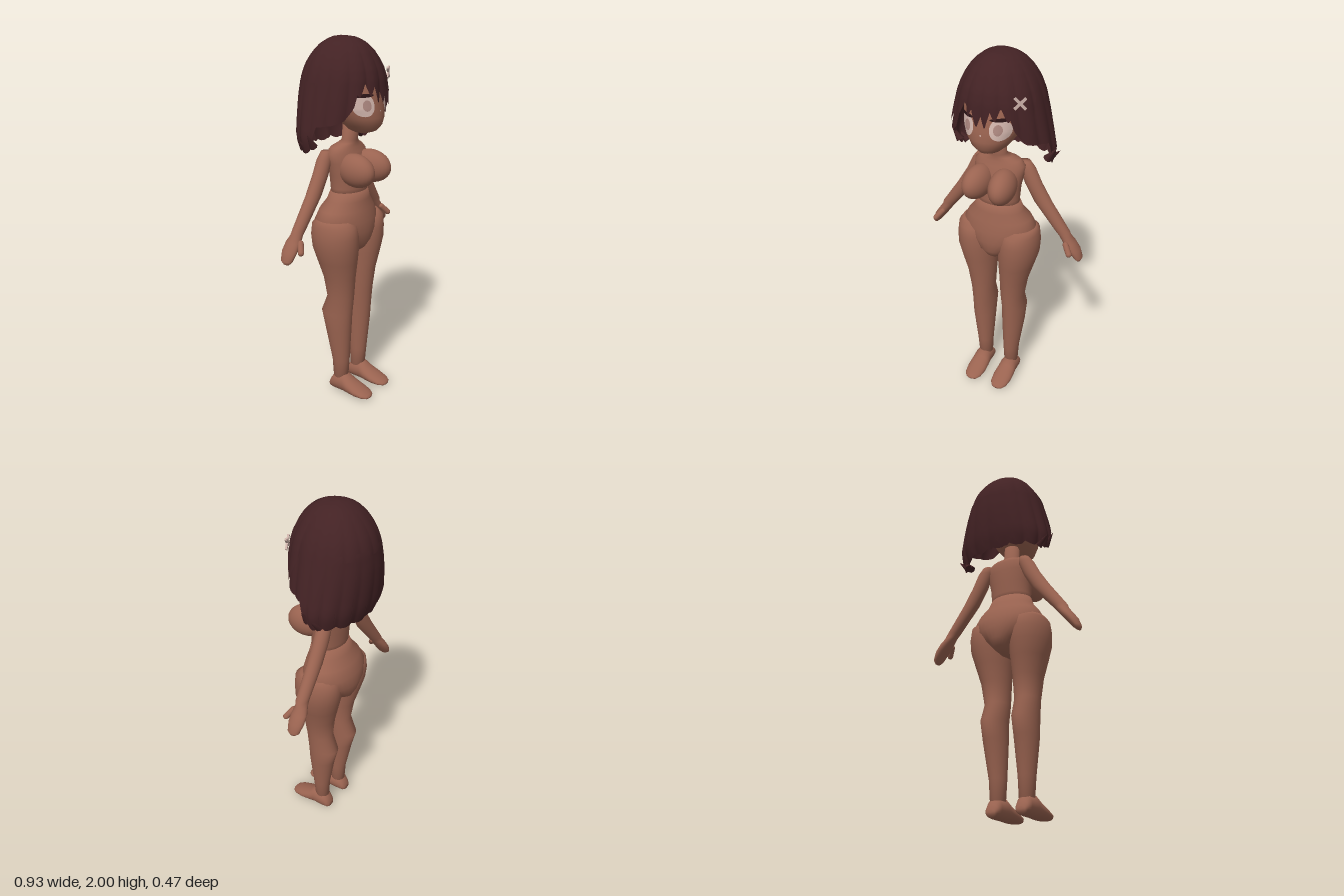
import * as THREE from 'three';

const mat = (name, color, side = THREE.FrontSide) => {
  const m = new THREE.MeshStandardMaterial({ color, side });
  m.name = name;
  return m;
};

// Linear lookup in rows sorted by their first column
function sample(rows, v) {
  if (v <= rows[0][0]) return rows[0];
  for (let i = 1; i < rows.length; i++) {
    if (v <= rows[i][0]) {
      const a = rows[i - 1], b = rows[i], t = (v - a[0]) / (b[0] - a[0]);
      return a.map((n, k) => n + (b[k] - n) * t);
    }
  }
  return rows[rows.length - 1];
}

function buffer(pos, idx) {
  const g = new THREE.BufferGeometry();
  g.setAttribute('position', new THREE.Float32BufferAttribute(pos, 3));
  g.setIndex(idx);
  g.computeVertexNormals();
  return g;
}

// Closed loft through elliptical rings [y, centreX, radiusX, frontZ, backZ], y ascending
function loft(rings, side = 1, n = 28) {
  const pos = [], idx = [];
  for (const [y, cx, rx, zf, zb] of rings) {
    for (let i = 0; i < n; i++) {
      const p = (i / n) * Math.PI * 2;
      pos.push(cx * side + rx * Math.sin(p), y, (zf + zb) / 2 + ((zf - zb) / 2) * Math.cos(p));
    }
  }
  for (let j = 0; j < rings.length - 1; j++) {
    for (let i = 0; i < n; i++) {
      const a = j * n + i, b = j * n + ((i + 1) % n);
      idx.push(a, b, b + n, a, b + n, a + n);
    }
  }
  const last = (rings.length - 1) * n, c = rings.length * n;
  for (const r of [rings[0], rings[rings.length - 1]]) pos.push(r[1] * side, r[0], (r[3] + r[4]) / 2);
  for (let i = 0; i < n; i++) {
    const k = (i + 1) % n;
    idx.push(c, k, i, c + 1, last + i, last + k);
  }
  return buffer(pos, idx);
}

const HEAD = [
  [1.515, 0, 0.025, 0.14, 0.06], [1.53, 0, 0.06, 0.185, 0.03], [1.56, 0, 0.095, 0.21, 0],
  [1.6, 0, 0.125, 0.217, -0.04], [1.65, 0, 0.147, 0.21, -0.07], [1.72, 0, 0.16, 0.198, -0.1],
  [1.8, 0, 0.165, 0.18, -0.13], [1.88, 0, 0.135, 0.135, -0.12], [1.95, 0, 0.07, 0.07, -0.07],
];
const TORSO = [
  [1.17, 0, 0.118, 0.11, -0.06], [1.22, 0, 0.119, 0.112, -0.065], [1.29, 0, 0.124, 0.11, -0.07],
  [1.36, 0, 0.138, 0.1, -0.075], [1.41, 0, 0.142, 0.08, -0.072], [1.435, 0, 0.115, 0.07, -0.06],
  [1.455, 0, 0.07, 0.068, -0.03], [1.47, 0, 0.046, 0.068, -0.015], [1.55, 0, 0.044, 0.075, -0.01],
];
const PELVIS = [
  [0.85, 0, 0.025, 0.08, -0.07], [0.88, 0, 0.065, 0.12, -0.115], [0.92, 0, 0.12, 0.144, -0.137],
  [0.98, 0, 0.19, 0.152, -0.15], [1.04, 0, 0.213, 0.148, -0.142], [1.1, 0, 0.18, 0.135, -0.12],
  [1.15, 0, 0.14, 0.122, -0.085], [1.2, 0, 0.121, 0.113, -0.066],
];
const LEG = [
  [0.09, 0.085, 0.04, 0.071, -0.015], [0.2, 0.086, 0.046, 0.08, -0.022], [0.4, 0.094, 0.064, 0.095, -0.06],
  [0.5, 0.095, 0.067, 0.102, -0.086], [0.6, 0.093, 0.068, 0.11, -0.045], [0.72, 0.1, 0.08, 0.122, -0.062],
  [0.82, 0.112, 0.098, 0.14, -0.09], [0.9, 0.121, 0.112, 0.152, -0.112], [0.97, 0.124, 0.112, 0.153, -0.12],
  [1.03, 0.128, 0.1, 0.145, -0.112], [1.055, 0.135, 0.075, 0.11, -0.08],
];
// Foot runs along z, so the last two columns are minus sole and minus top height
const FOOT = [
  [-0.037, 0.087, 0.025, -0.012, -0.045], [-0.025, 0.087, 0.037, -0.003, -0.07], [0, 0.087, 0.046, 0, -0.105],
  [0.065, 0.087, 0.05, 0, -0.115], [0.1, 0.087, 0.054, 0, -0.09], [0.15, 0.087, 0.057, 0, -0.066],
  [0.2, 0.087, 0.05, -0.003, -0.045], [0.225, 0.087, 0.034, -0.007, -0.033], [0.234, 0.087, 0.015, -0.012, -0.024],
];
const ARM = [
  [0.888, 0.447, 0.01, -0.035, -0.07], [0.905, 0.441, 0.022, -0.02, -0.09], [0.95, 0.415, 0.032, -0.01, -0.1],
  [0.99, 0.386, 0.034, -0.012, -0.097], [1.025, 0.361, 0.034, -0.018, -0.083], [1.05, 0.346, 0.04, -0.013, -0.08],
  [1.2, 0.232, 0.051, -0.004, -0.078], [1.3, 0.173, 0.048, 0, -0.078], [1.38, 0.138, 0.044, 0, -0.076],
  [1.42, 0.122, 0.03, -0.012, -0.064],
];
// Hair outline: [y, radiusX, frontZ, backZ]
const HAIR = [
  [1.42, 0.258, 0.185, -0.195], [1.47, 0.275, 0.195, -0.213], [1.52, 0.28, 0.2, -0.226], [1.62, 0.259, 0.207, -0.235],
  [1.7, 0.24, 0.207, -0.236], [1.79, 0.216, 0.2, -0.228], [1.84, 0.198, 0.187, -0.214], [1.88, 0.177, 0.168, -0.194],
  [1.92, 0.15, 0.143, -0.165], [1.95, 0.122, 0.115, -0.136], [1.975, 0.09, 0.083, -0.1], [1.99, 0.05, 0.045, -0.065],
  [1.995, 0, -0.03, -0.03],
];

// Sheet of hair between two angles (degrees from the front), from top height down to edge(angle)
function hairSheet(a0, a1, top, edge, scale, cols, rows = 22) {
  const pos = [], idx = [];
  for (let j = 0; j <= rows; j++) {
    for (let i = 0; i <= cols; i++) {
      const deg = a0 + ((a1 - a0) * i) / cols, p = THREE.MathUtils.degToRad(deg);
      const t = j / rows, y = top - (top - edge(deg)) * t ** 1.5;
      const [, rx, zf, zb] = sample(HAIR, y);
      const k = scale * (1 + 0.04 * t * (Math.abs(Math.sin(p * 8)) - 0.6));
      const c = Math.cos(p), rz = c > 0 ? zf + 0.03 : -0.03 - zb;
      pos.push(rx * Math.sin(p) * k, y, -0.03 + rz * c * k);
      if (i < cols && j < rows) {
        const a = j * (cols + 1) + i, d = a + cols + 1;
        idx.push(a, d, d + 1, a, d + 1, a + 1);
      }
    }
  }
  return buffer(pos, idx);
}

// Thin oval laid on the face
function faceOval(cx, cy, rx, ry, lift) {
  const g = new THREE.RingGeometry(0.001, 1, 28, 5);
  const p = g.attributes.position;
  for (let i = 0; i < p.count; i++) {
    const x = cx + p.getX(i) * rx, y = cy + p.getY(i) * ry;
    const [, , hx, zf, zb] = sample(HEAD, y);
    const z = (zf + zb) / 2 + ((zf - zb) / 2) * Math.sqrt(Math.max(0, 1 - (x / hx) ** 2));
    p.setXYZ(i, x, y, z + lift);
  }
  g.computeVertexNormals();
  return g;
}

export function createModel() {
  const model = new THREE.Group();
  model.name = 'figure';
  const skin = mat('skin', 0x9a6350);
  const hair = mat('hair', 0x432224, THREE.DoubleSide);
  const eyeWhite = mat('eyeWhite', 0xd6b9b0);
  const iris = mat('iris', 0xb08a82);
  const lash = mat('lash', 0x2c1517);
  const clipMat = mat('clip', 0xc9aea6);
  const add = (name, geo, m, parent = model) => {
    const mesh = new THREE.Mesh(geo, m);
    mesh.name = name;
    parent.add(mesh);
    return mesh;
  };

  // Body
  add('head', loft(HEAD, 1, 36), skin);
  add('torso', loft(TORSO, 1, 36), skin);
  add('pelvis', loft(PELVIS, 1, 36), skin);
  for (const s of [1, -1]) {
    const side = s > 0 ? 'left' : 'right';
    add(side + 'Leg', loft(LEG, s), skin);
    add(side + 'Foot', loft(FOOT, s).rotateX(Math.PI / 2), skin);
    add(side + 'Arm', loft(ARM, s), skin);
    const thumb = add(side + 'Thumb', new THREE.CapsuleGeometry(0.016, 0.055, 6, 12), skin);
    thumb.position.set(0.396 * s, 0.972, 0.002);
    thumb.quaternion.setFromUnitVectors(new THREE.Vector3(0, 1, 0), new THREE.Vector3(-0.55 * s, 0.7, -0.46).normalize());
    const chest = add(side + 'Chest', new THREE.SphereGeometry(1, 28, 20), skin);
    chest.scale.set(0.07, 0.088, 0.115);
    chest.position.set(0.07 * s, 1.325, 0.115);
    chest.rotation.set(0.12, 0.12 * s, 0);

    // Eyes
    add(side + 'Eye', faceOval(0.088 * s, 1.668, 0.046, 0.055, 0.004), eyeWhite);
    add(side + 'Iris', faceOval(0.082 * s, 1.668, 0.02, 0.028, 0.006), iris);
    add(side + 'Lash', faceOval(0.092 * s, 1.718, 0.048, 0.009, 0.008), lash);

    // Flicked hair ends
    for (const [x, y, z, tilt] of [[0.276, 1.5, -0.02, 2.5], [0.268, 1.47, -0.075, 2.3]]) {
      const tip = add(side + 'HairFlick', new THREE.ConeGeometry(0.022, 0.085, 8), hair);
      tip.position.set(x * s, y, z);
      tip.rotation.z = (tilt - Math.PI) * s;
    }
  }
  add('nose', faceOval(0, 1.635, 0.004, 0.004, 0.003), eyeWhite);

  // Hair: long shell open at the face, with a layered fringe over it
  const SHELL = [[0, 1.8], [32, 1.78], [38, 1.66], [48, 1.6], [62, 1.58], [80, 1.57], [88, 1.46], [180, 1.44]];
  const FRINGE = [[0, 1.73], [5, 1.67], [12, 1.76], [17, 1.71], [25, 1.78], [32, 1.71], [36, 1.73], [42, 1.64], [48, 1.7], [56, 1.63], [64, 1.72], [72, 1.8]];
  const shellEdge = (d) => {
    const a = Math.abs(d), zig = a > 88 ? 0.02 * Math.abs(Math.sin((a - 88) * 0.14)) : 0;
    return sample(SHELL, a)[1] - zig;
  };
  add('hairShell', hairSheet(-180, 180, 1.995, shellEdge, 1, 144), hair);
  add('fringe', hairSheet(-72, 72, 1.965, (d) => sample(FRINGE, Math.abs(d))[1], 1.035, 96), hair);
  // Overlapping locks on the sides and back
  for (let i = 0; i < 9; i++) {
    const mid = 100 + i * 20;
    const edge = (d) => 1.43 + 0.045 * (Math.abs(d - mid) / 11) ** 2;
    add('hairLock', hairSheet(mid - 11, mid + 11, 1.78 + 0.03 * (i % 2), edge, 1.008, 12, 12), hair);
  }

  // Crossed hair clip
  const clip = new THREE.Group();
  clip.name = 'hairClip';
  for (const r of [0.8, -0.8]) add('clipBar', new THREE.BoxGeometry(0.075, 0.013, 0.01), clipMat, clip).rotation.z = r;
  clip.position.set(0.176, 1.805, 0.145);
  clip.rotation.y = 0.4;
  model.add(clip);
  return model;
}
